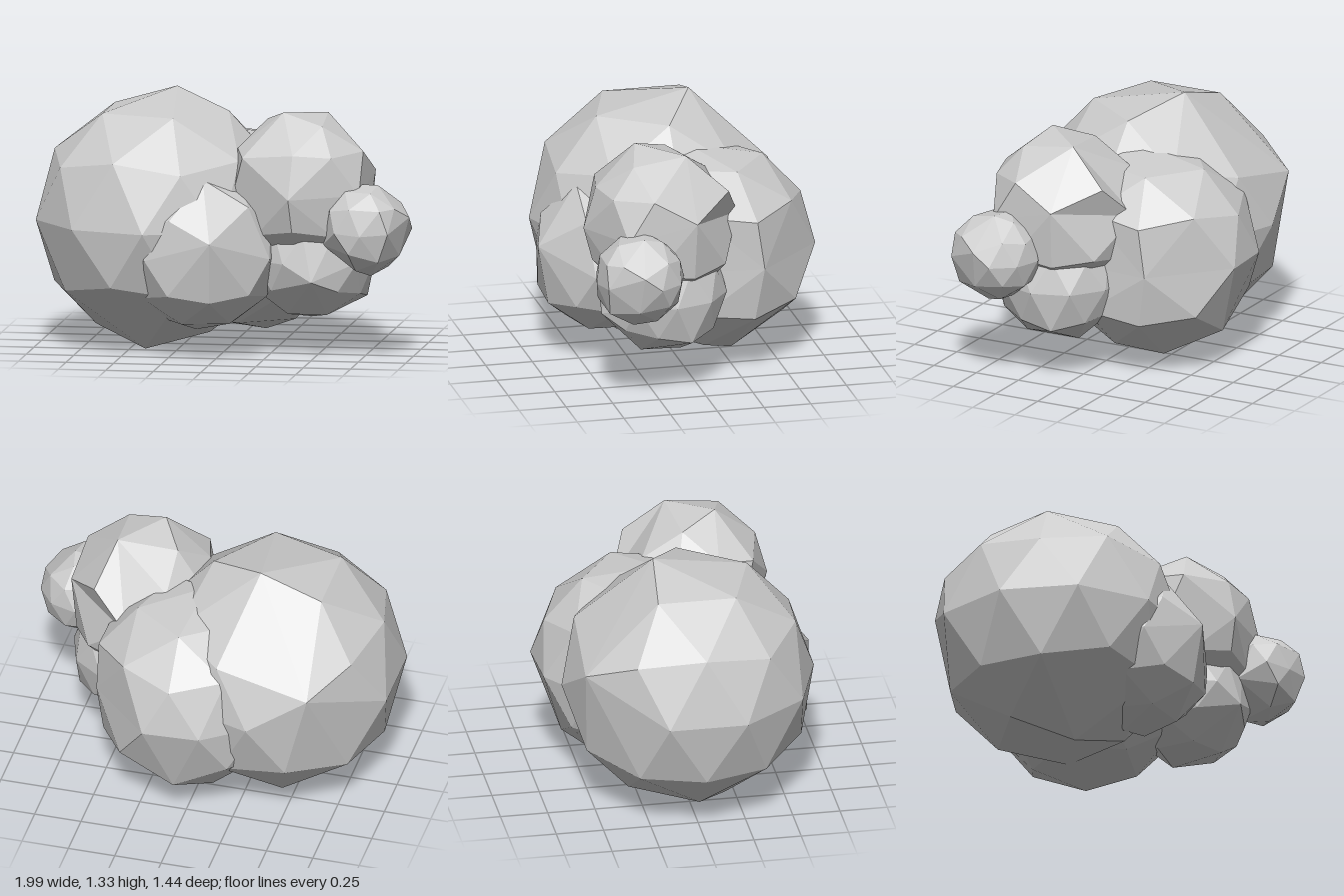
import * as THREE from 'three';

const REACH = 0.42; // how far a corner attracts vertices, relative to the radius

// Faceted ball standing on a corner. Vertices near one of the given corners
// snap to it, which merges small facets into larger, uneven ones.
function lumpGeometry(centre, radius, azimuth, corners) {
  const geo = new THREE.IcosahedronGeometry(radius, 1);
  geo.rotateX(-Math.atan((1 + Math.sqrt(5)) / 2));
  geo.rotateY(THREE.MathUtils.degToRad(90 - azimuth));
  const targets = corners.map((c) => new THREE.Vector3(...c).sub(centre));
  const pos = geo.attributes.position;
  const v = new THREE.Vector3();
  for (let i = 0; i < pos.count; i++) {
    v.fromBufferAttribute(pos, i);
    let nearest = null;
    let best = REACH * radius;
    for (const t of targets) {
      const d = v.distanceTo(t);
      if (d < best) {
        best = d;
        nearest = t;
      }
    }
    if (nearest) pos.setXYZ(i, nearest.x, nearest.y, nearest.z);
  }
  geo.computeVertexNormals();
  return geo;
}

export function createModel() {
  const group = new THREE.Group();
  group.name = 'lumpCluster';
  const material = new THREE.MeshStandardMaterial({ color: 0xcccccc, flatShading: true });

  // azimuth: turn about the vertical, in degrees from +x towards +z
  const lumps = [
    {
      name: 'mainLump', centre: [-0.36, 0.667, 0.015], radius: 0.667, azimuth: -72,
      corners: [[-0.31, 1.333, -0.16], [-0.42, 0, 0.2], [-0.67, 0.86, -0.58], [-0.93, 0.32, 0.015]],
    },
    {
      name: 'backLump', centre: [0.05, 0.6, -0.18], radius: 0.55, azimuth: 126,
      corners: [[0, 1.13, -0.08], [0.14, 0.05, -0.28], [0.18, 0.6, -0.72], [0.05, 0.2, -0.58], [0.52, 0.59, -0.37]],
    },
    {
      name: 'upperLump', centre: [0.41, 0.86, 0.16], radius: 0.41, azimuth: 127,
      corners: [
        [0.32, 1.27, 0.28], [0.52, 1.245, 0.05], [0.6, 1.06, 0.46], [0.59, 1.06, -0.16],
        [0.39, 0.85, 0.57], [0.4, 0.88, -0.25], [0.13, 1.05, 0.45], [0.77, 0.95, 0.05],
      ],
    },
    {
      name: 'lowerLump', centre: [0.45, 0.5, 0.16], radius: 0.335, azimuth: 90,
      corners: [[0.44, 0.17, 0.06], [0.73, 0.29, 0.07], [0.5, 0.41, 0.5]],
    },
    {
      name: 'frontLump', centre: [-0.1, 0.525, 0.33], radius: 0.405, azimuth: 75,
      corners: [[0, 0.63, 0.72], [-0.07, 0.94, 0.5], [0.17, 0.8, 0.5], [-0.14, 0.12, 0.28]],
    },
    {
      name: 'smallSideLump', centre: [0.772, 0.68, 0.365], radius: 0.24, azimuth: -72,
      corners: [
        [1, 0.75, 0.385], [0.95, 0.55, 0.4], [0.83, 0.91, 0.35], [0.7, 0.91, 0.32], [0.77, 0.67, 0.59],
        [0.87, 0.8, 0.56], [0.8, 0.44, 0.4], [0.71, 0.45, 0.3], [0.86, 0.53, 0.54], [0.55, 0.6, 0.42],
      ],
    },
  ];
  for (const { name, centre, radius, azimuth, corners } of lumps) {
    const position = new THREE.Vector3(...centre);
    const mesh = new THREE.Mesh(lumpGeometry(position, radius, azimuth, corners), material);
    mesh.name = name;
    mesh.position.copy(position);
    group.add(mesh);
  }
  return group;
}
